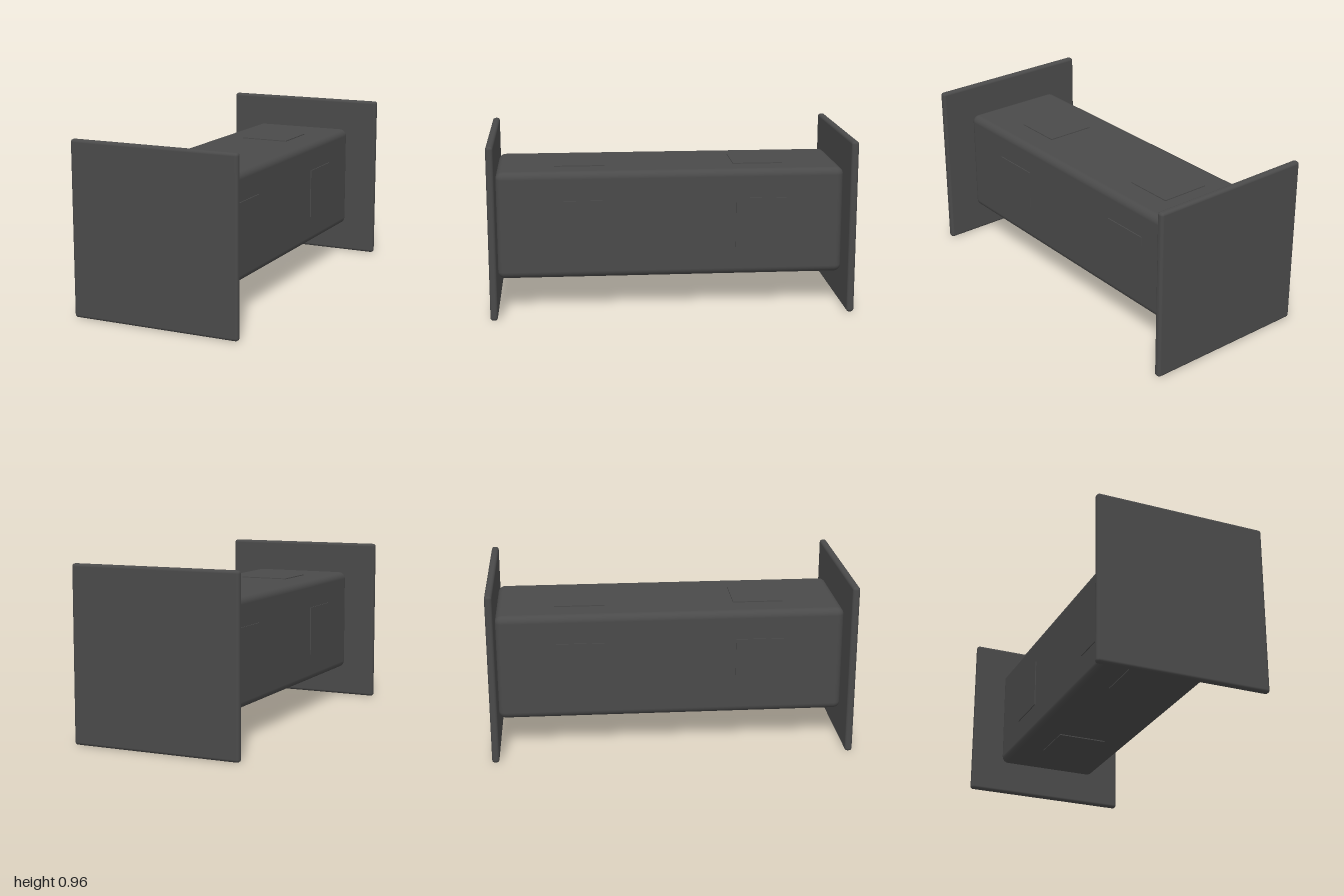
import * as THREE from 'three';
import { RoundedBoxGeometry } from 'three/addons/geometries/RoundedBoxGeometry.js';

export function createModel() {
  const group = new THREE.Group();
  const darkGrey = new THREE.MeshStandardMaterial({ color: 0x4a4a4a });
  darkGrey.name = 'darkGrey';
  const midY = 0.48;

  const add = (name, geometry, x, y, z) => {
    const mesh = new THREE.Mesh(geometry, darkGrey);
    mesh.name = name;
    mesh.position.set(x, y, z);
    group.add(mesh);
  };

  // Long square column lying along z
  add('body', new RoundedBoxGeometry(0.6, 0.6, 1.924, 4, 0.04), 0, midY, 0);

  // Square flange at each end
  const plate = new RoundedBoxGeometry(0.96, 0.96, 0.04, 4, 0.016);
  add('frontPlate', plate, 0, midY, 0.98);
  add('backPlate', plate, 0, midY, -0.98);

  // Thin square panels, two on each long face
  const flatPanel = new THREE.BoxGeometry(0.28, 0.009, 0.28);
  const sidePanel = new THREE.BoxGeometry(0.009, 0.28, 0.28);
  for (const z of [0.5, -0.5]) {
    const end = z > 0 ? 'Front' : 'Back';
    add('topPanel' + end, flatPanel, 0, midY + 0.301, z);
    add('bottomPanel' + end, flatPanel, 0, midY - 0.301, z);
    add('leftPanel' + end, sidePanel, 0.301, midY, z);
    add('rightPanel' + end, sidePanel, -0.301, midY, z);
  }
  return group;
}
